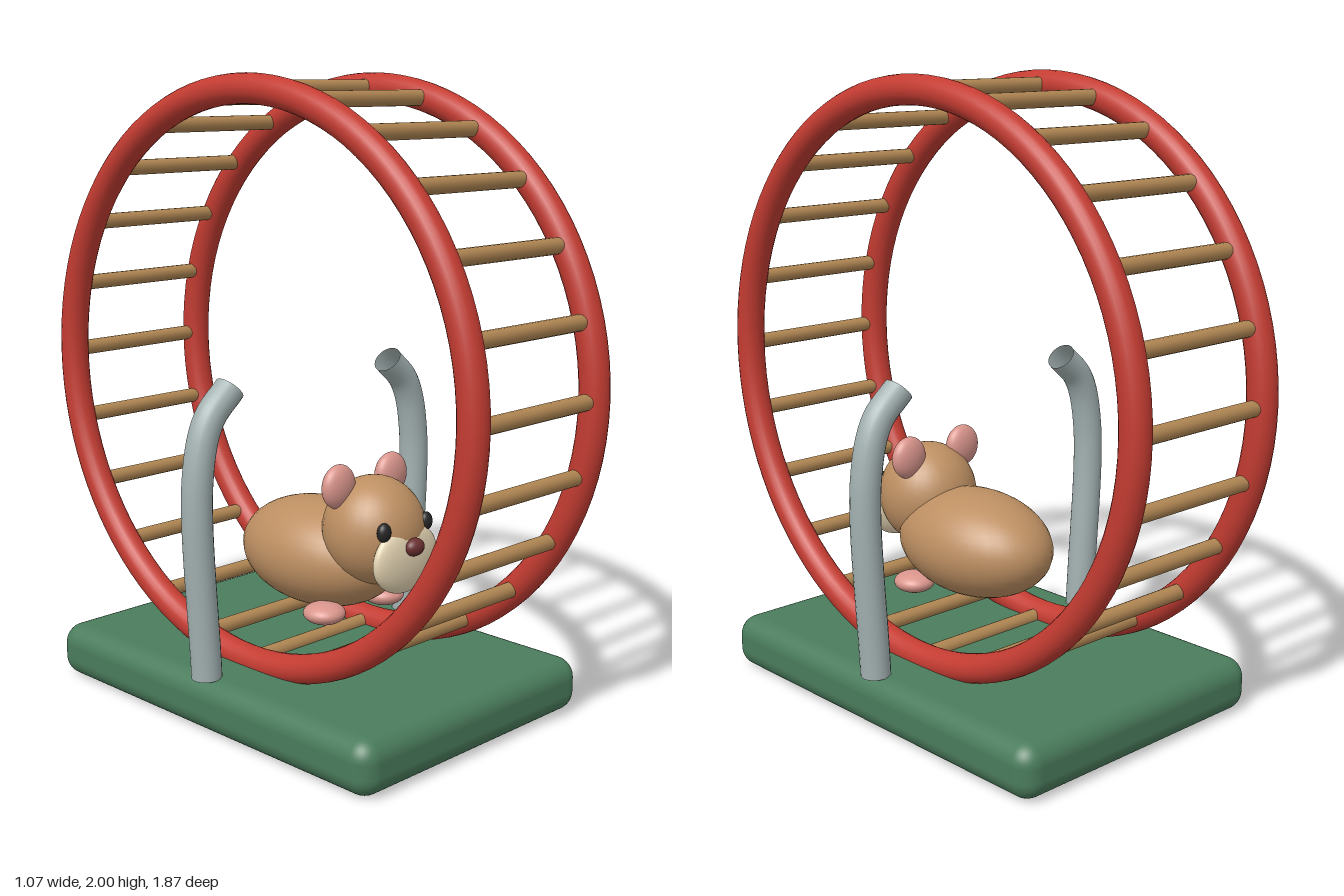
import * as THREE from 'three';
import { RoundedBoxGeometry } from 'three/addons/geometries/RoundedBoxGeometry.js';

const mat = (color, side = THREE.FrontSide) => new THREE.MeshStandardMaterial({ color, side });
const red = mat(0xc43c32), wood = mat(0xb08653), green = mat(0x4a7c5c);
const steel = mat(0xa3b1b1, THREE.DoubleSide);
const fur = mat(0xbd8f62), pink = mat(0xd9958c), cream = mat(0xe6d6b4);
const dark = mat(0x262626), noseBrown = mat(0x6b3030);

function add(parent, name, geometry, material, x = 0, y = 0, z = 0) {
  const mesh = new THREE.Mesh(geometry, material);
  mesh.name = name;
  mesh.position.set(x, y, z);
  parent.add(mesh);
  return mesh;
}

function ellipsoid(parent, name, material, position, radii) {
  const mesh = add(parent, name, new THREE.SphereGeometry(1, 32, 24), material, ...position);
  mesh.scale.set(...radii);
  return mesh;
}

// Two rims joined by evenly spaced rungs
function createWheel() {
  const wheel = new THREE.Group();
  wheel.name = 'wheel';
  const radius = 0.887, rimX = 0.273, rungs = 24;
  for (const side of [-1, 1]) {
    const rim = add(wheel, side > 0 ? 'leftRim' : 'rightRim',
      new THREE.TorusGeometry(radius, 0.046, 20, 96), red, side * rimX);
    rim.rotation.y = Math.PI / 2;
  }
  const rungGeometry = new THREE.CylinderGeometry(0.025, 0.025, rimX * 2, 14).rotateZ(Math.PI / 2);
  for (let i = 0; i < rungs; i++) {
    const a = (i / rungs) * Math.PI * 2;
    add(wheel, 'rung', rungGeometry, wood, 0, radius * Math.cos(a), radius * Math.sin(a));
  }
  wheel.position.y = 1.067;
  return wheel;
}

// Small rodent running inside the wheel
function createHamster() {
  const hamster = new THREE.Group();
  hamster.name = 'hamster';
  ellipsoid(hamster, 'body', fur, [0, 0.493, 0.04], [0.203, 0.173, 0.3]);
  ellipsoid(hamster, 'head', fur, [0, 0.608, 0.273], [0.163, 0.172, 0.163]);
  ellipsoid(hamster, 'muzzle', cream, [0, 0.543, 0.405], [0.14, 0.108, 0.038]);
  ellipsoid(hamster, 'nose', noseBrown, [0, 0.587, 0.442], [0.036, 0.028, 0.026]);
  for (const s of [-1, 1]) {
    ellipsoid(hamster, 'eye', dark, [s * 0.094, 0.642, 0.402], [0.024, 0.03, 0.02]);
    ellipsoid(hamster, 'ear', pink, [s * 0.117, 0.758, 0.233], [0.065, 0.07, 0.036]);
    ellipsoid(hamster, 'foot', pink, [s * 0.135, 0.348, 0.19], [0.066, 0.034, 0.068]);
  }
  return hamster;
}

export function createModel() {
  const model = new THREE.Group();
  model.name = 'hamsterWheel';

  add(model, 'base', new RoundedBoxGeometry(1, 0.175, 1.43, 6, 0.065), green, 0, 0.0875, 0);
  model.add(createWheel(), createHamster());

  // Bent support posts leaning in towards the rims
  for (const s of [-1, 1]) {
    const path = new THREE.CatmullRomCurve3(
      [[0.457, 0.172], [0.483, 0.8], [0.437, 0.978], [0.35, 1.065]]
        .map(([x, y]) => new THREE.Vector3(s * x, y, 0)));
    add(model, s > 0 ? 'leftSupport' : 'rightSupport',
      new THREE.TubeGeometry(path, 48, 0.048, 20, false), steel);
  }
  return model;
}
